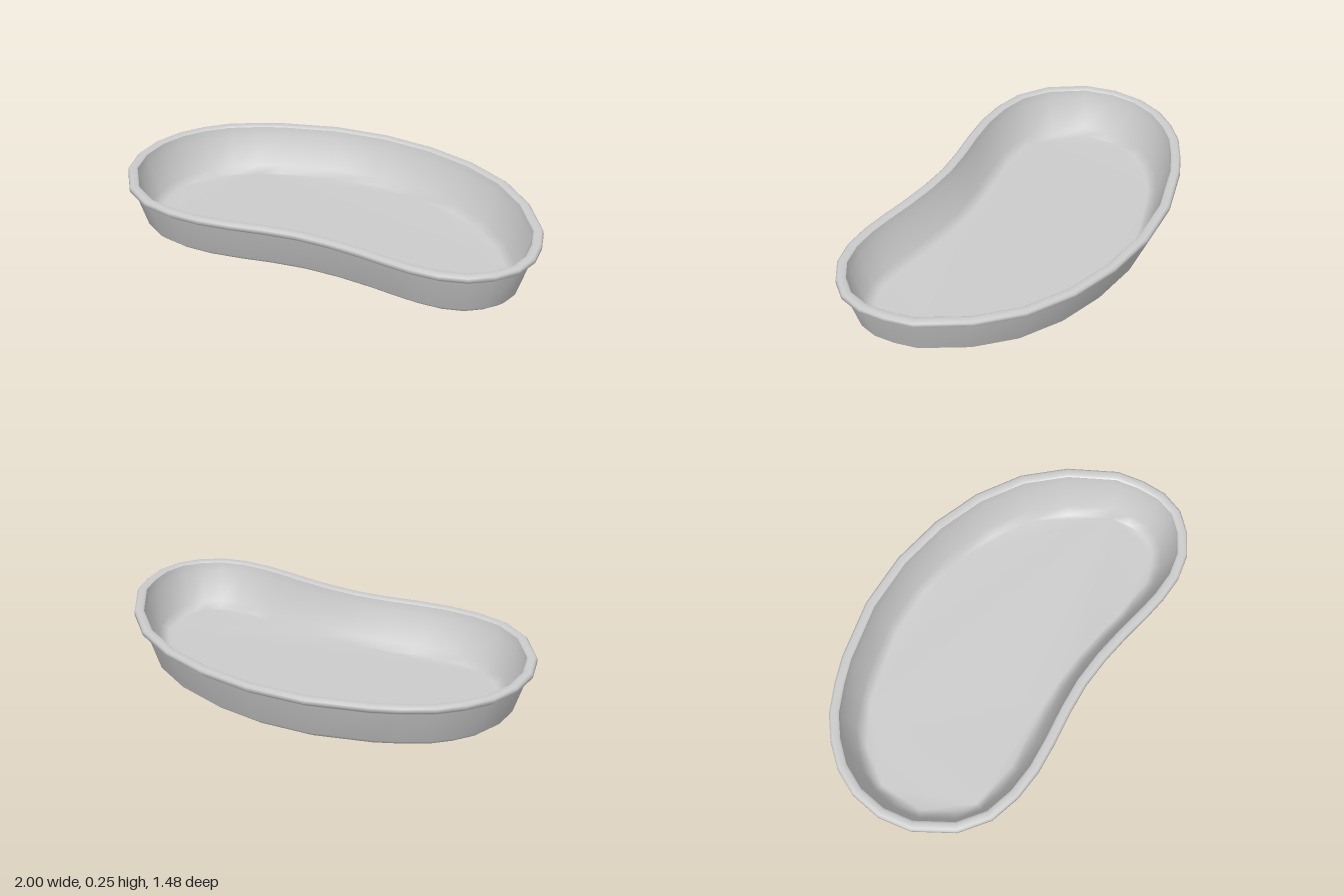
import * as THREE from 'three';

// Kidney-shaped rim outline as x, z pairs
const OUTLINE = [
  -1, -0.2, -0.975, -0.36, -0.905, -0.5, -0.805, -0.605, -0.685, -0.675, -0.56, -0.72, -0.41, -0.738, -0.275, -0.742,
  0.015, -0.71, 0.28, -0.625, 0.51, -0.5, 0.705, -0.345, 0.86, -0.155, 0.955, 0.06, 1, 0.31, 0.98, 0.445,
  0.94, 0.56, 0.865, 0.655, 0.76, 0.71, 0.64, 0.735, 0.51, 0.718, 0.385, 0.67, 0.28, 0.615, 0.16, 0.545,
  0.015, 0.47, -0.13, 0.41, -0.275, 0.37, -0.44, 0.335, -0.59, 0.295, -0.73, 0.235, -0.86, 0.145, -0.955, 0.005,
];
const COUNT = OUTLINE.length / 2;
const points = Array.from({ length: COUNT }, (_, i) => new THREE.Vector2(OUTLINE[2 * i], OUTLINE[2 * i + 1]));

// Outline moved inwards by a distance
function insetOutline(distance) {
  return points.map((p, i) => {
    const t = points[(i + 1) % COUNT].clone().sub(points[(i + COUNT - 1) % COUNT]).normalize();
    return new THREE.Vector2(p.x - t.y * distance, p.y + t.x * distance);
  });
}

// Sweep a profile of [inset, height] round the outline; optionally close one ring with a flat cap
function sweep(name, profile, capRing = -1, capUp = true) {
  const positions = [];
  const index = [];
  const rings = profile.map(([inset]) => insetOutline(inset));
  rings.forEach((ring, r) => ring.forEach((p) => positions.push(p.x, profile[r][1], p.y)));

  for (let r = 0; r < rings.length - 1; r++) {
    for (let i = 0; i < COUNT; i++) {
      const a = r * COUNT + i;
      const b = r * COUNT + (i + 1) % COUNT;
      index.push(a, a + COUNT, b, b, a + COUNT, b + COUNT);
    }
  }
  if (capRing >= 0) {
    const ring = rings[capRing];
    for (const [a, b, c] of THREE.ShapeUtils.triangulateShape(ring, [])) {
      const facesUp = THREE.ShapeUtils.area([ring[a], ring[b], ring[c]]) < 0;
      const face = facesUp === capUp ? [a, b, c] : [a, c, b];
      index.push(...face.map((v) => v + capRing * COUNT));
    }
  }

  const geometry = new THREE.BufferGeometry();
  geometry.setAttribute('position', new THREE.Float32BufferAttribute(positions, 3));
  geometry.setIndex(index);
  geometry.computeVertexNormals();
  const mesh = new THREE.Mesh(geometry, new THREE.MeshStandardMaterial({ color: 0xcccccc }));
  mesh.name = name;
  return mesh;
}

export function createModel() {
  const dish = new THREE.Group();
  dish.name = 'kidneyDish';
  dish.add(
    // Outside: flat base, bevelled foot and flared wall
    sweep('outerWallAndBase', [[0.118, 0], [0.082, 0.032], [0.03, 0.2], [0.018, 0.212]], 0, false),
    // Rolled lip
    sweep('rim', [[0.018, 0.212], [0, 0.226], [0.002, 0.243], [0.012, 0.25], [0.038, 0.25], [0.048, 0.243]]),
    // Inside: sloping wall running into the floor
    sweep('innerWallAndFloor', [[0.048, 0.243], [0.056, 0.2], [0.108, 0.045], [0.15, 0.02]], 3, true),
  );
  return dish;
}
